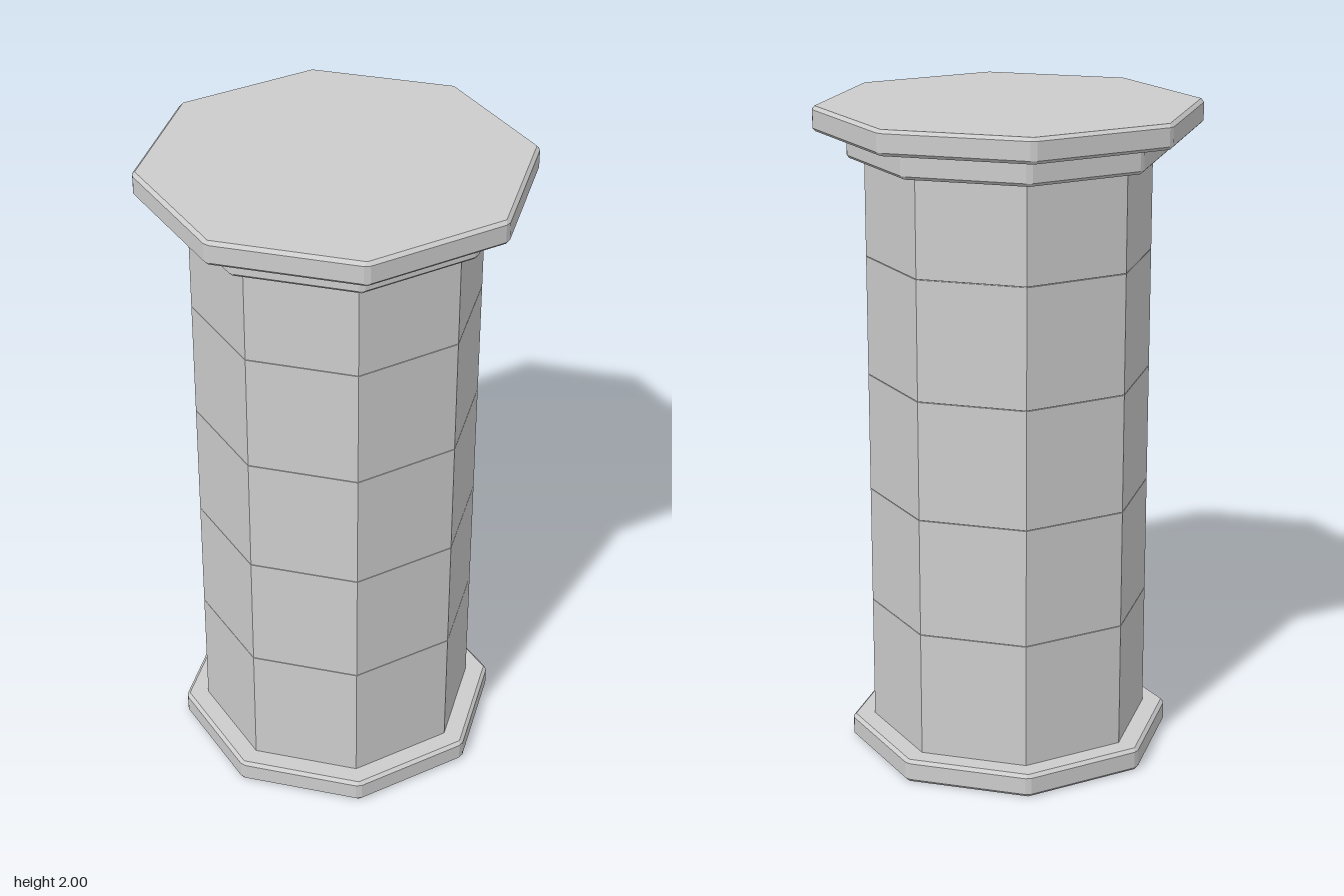
import * as THREE from 'three';
import { ConvexGeometry } from 'three/addons/geometries/ConvexGeometry.js';

const TAN = Math.tan(Math.PI / 8);

// Corners of an octagon with flat sides facing the axes; cut chamfers each corner
function octagon(apothem, y, cut = 0) {
  const points = [];
  const half = apothem * TAN - cut;
  for (let i = 0; i < 8; i++) {
    for (const s of cut ? [-half, half] : [half]) {
      points.push(new THREE.Vector3(s, y, apothem).applyAxisAngle(THREE.Object3D.DEFAULT_UP, i * Math.PI / 4));
    }
  }
  return points;
}

// Octagonal slab with bevelled edges
function slab(apothem, y0, y1, bevel = 0.01) {
  return new ConvexGeometry([
    ...octagon(apothem - bevel, y0),
    ...octagon(apothem, y0 + bevel, bevel),
    ...octagon(apothem, y1 - bevel, bevel),
    ...octagon(apothem - bevel, y1),
  ]);
}

// Straight octagonal prism
function prism(apothem, y0, y1) {
  const radius = apothem / Math.cos(Math.PI / 8);
  const geometry = new THREE.CylinderGeometry(radius, radius, y1 - y0, 8, 1, false, Math.PI / 8);
  return geometry.translate(0, (y0 + y1) / 2, 0);
}

export function createModel() {
  const group = new THREE.Group();
  group.name = 'octagonalColumn';
  const stone = new THREE.MeshStandardMaterial({ color: 0xcccccc, flatShading: true });
  stone.name = 'grey stone';

  const add = (name, geometry) => {
    const mesh = new THREE.Mesh(geometry, stone);
    mesh.name = name;
    group.add(mesh);
  };

  // Base and stepped capital
  add('base', slab(0.46, 0, 0.072));
  add('lowerCapital', slab(0.445, 1.845, 1.926));
  add('upperCapital', slab(0.535, 1.926, 2));

  // Shaft of five drums with hairline joints around a core
  const joints = [0.06, 0.458, 0.822, 1.186, 1.55, 1.855];
  const gap = 0.001;
  for (let i = 0; i < 5; i++) {
    add(`shaftDrum${i + 1}`, prism(0.395, joints[i] + gap, joints[i + 1] - gap));
  }
  add('shaftCore', prism(0.391, 0.06, 1.855));

  return group;
}
